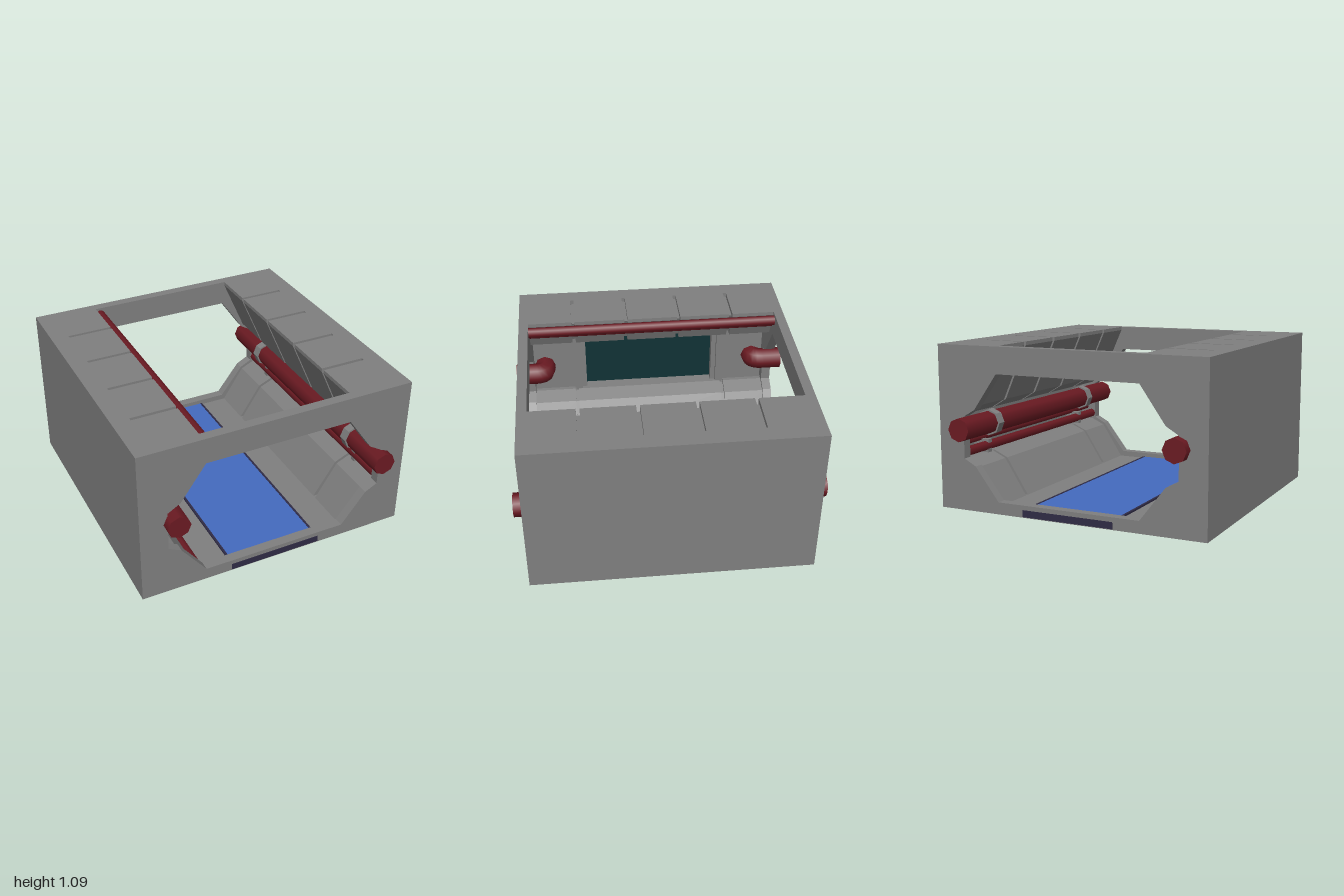
import * as THREE from 'three';

const material = (color, flatShading = true) => new THREE.MeshStandardMaterial({ color, flatShading });

export function createModel() {
  const model = new THREE.Group();
  const grey = material(0x7f7f7f);
  const red = material(0x6a1a22, false);
  const blue = material(0x446abf);
  const navy = material(0x2f2b45);
  const teal = material(0x103235);

  const add = (name, geometry, mat = grey) => {
    const mesh = new THREE.Mesh(geometry, mat);
    mesh.name = name;
    model.add(mesh);
    return mesh;
  };

  // Box given by its limits on each axis
  const box = (name, x0, x1, y0, y1, z0, z1, mat) => {
    const mesh = add(name, new THREE.BoxGeometry(Math.abs(x1 - x0), y1 - y0, z1 - z0), mat);
    mesh.position.set((x0 + x1) / 2, (y0 + y1) / 2, (z0 + z1) / 2);
  };

  // Cross-section on one side (side = 1 or -1), extruded from z0 to z1
  const prism = (name, points, side, z0, z1) => {
    const shape = new THREE.Shape(points.map(([x, y]) => new THREE.Vector2(x * side, y)));
    const geometry = new THREE.ExtrudeGeometry(shape, { depth: z1 - z0, bevelEnabled: false });
    add(name, geometry.translate(0, 0, z0));
  };

  // Straight pipe along z
  const pipe = (name, x, y, r, z0, z1, mat = red) => {
    const mesh = add(name, new THREE.CylinderGeometry(r, r, z1 - z0, 8), mat);
    mesh.rotation.x = Math.PI / 2;
    mesh.position.set(x, y, (z0 + z1) / 2);
  };

  const W = 0.94, H = 1.085, IN = 0.875;

  // End frames with the angular doorway
  const half = [[0.5, 0.08], [0.67, 0.3], [0.755, 0.345], [0.755, 0.62], [0.67, 0.67], [0.5, 0.91]];
  const doorway = [...half, ...half.map(([x, y]) => [-x, y]).reverse()];
  const frame = new THREE.Shape([[-W, 0], [W, 0], [W, H], [-W, H]].map((p) => new THREE.Vector2(...p)));
  frame.holes.push(new THREE.Path(doorway.map((p) => new THREE.Vector2(...p))));
  for (const [name, z] of [['frontFrame', IN], ['backFrame', -W]]) {
    const geometry = new THREE.ExtrudeGeometry(frame, { depth: W - IN, bevelEnabled: false });
    add(name, geometry.translate(0, 0, z));
  }

  // Floor with the coloured walkway and its dark rails and ends
  box('floor', -W, W, 0, 0.04, -IN, IN);
  box('walkway', -0.305, 0.305, 0.03, 0.05, -IN, IN, blue);
  for (const s of [-1, 1]) {
    box('walkwayRail', s * 0.305, s * 0.32, 0.03, 0.052, -IN, IN, navy);
    box('walkwayEnd', -0.32, 0.32, 0.004, 0.05, s * 0.91 - 0.0305, s * 0.91 + 0.0305, navy);
  }

  // Panels between stops along z, with a recessed strip filling each joint
  const bays = (name, panel, strip, side, joints) => {
    const stops = [-IN, ...joints, IN];
    for (let i = 0; i <= joints.length; i++) {
      const z0 = stops[i] + (i > 0 ? 0.012 : 0);
      const z1 = stops[i + 1] - (i < joints.length ? 0.012 : 0);
      prism(name, panel, side, z0, z1);
    }
    for (const z of joints) prism(name + 'Joint', strip, side, z - 0.012, z + 0.012);
  };

  // Side walls; the right ceiling panels stop higher to clear the window
  const ceilingTop = [[0.515, 1.06], [0.515, H], [0.88, H]];
  const stripTop = [[0.545, 1.055], [0.82, 1.055], [0.82, H], [0.88, H]];
  const lower = [[0.52, 0.04], [0.88, 0.04], [0.88, 0.33], [0.78, 0.33], [0.68, 0.285]];
  const lowerStrip = [[0.55, 0.04], [0.88, 0.04], [0.88, 0.31], [0.785, 0.31], [0.695, 0.27]];
  const upperLeft = [...ceilingTop, [0.88, 0.63], [0.78, 0.63], [0.68, 0.69]];
  const upperRight = [...ceilingTop, [0.88, 0.86], [0.605, 0.86]];
  const upperStripLeft = [...stripTop, [0.88, 0.72], [0.695, 0.72]];
  const upperStripRight = [...stripTop, [0.88, 0.88], [0.625, 0.88]];
  const joints = [-0.565, -0.19, 0.185, 0.56];
  bays('upperPanel', upperLeft, upperStripLeft, 1, joints);
  bays('upperPanel', upperRight, upperStripRight, -1, joints);
  for (const side of [-1, 1]) {
    box('outerWall', side * 0.88, side * W, 0, H, -IN, IN);
    bays('lowerPanel', lower, lowerStrip, side, [-0.565, 0.56]);
  }

  // Right wall: dark window between two columns
  box('window', -0.88, -0.87, 0.32, 0.87, -0.48, 0.48, teal);
  for (const s of [-1, 1]) {
    box('column', -0.88, -0.81, 0.32, 0.87, s * 0.675 - 0.195, s * 0.675 + 0.195);
    box('columnRib', -0.88, -0.785, 0.32, 0.87, s * 0.54 - 0.025, s * 0.54 + 0.025);
  }

  // Right side: tight pipe elbows that turn into the columns
  for (const [name, x, s] of [['frontElbow', -0.705, 1], ['backElbow', -0.75, -1]]) {
    const z = s * 0.79;
    const a = new THREE.Vector3(x, 0.54, s);
    const b = new THREE.Vector3(x, 0.54, s * 0.86);
    const c = new THREE.Vector3(x - 0.06, 0.54, z);
    const path = new THREE.CurvePath();
    path.add(new THREE.LineCurve3(a, b));
    path.add(new THREE.QuadraticBezierCurve3(b, new THREE.Vector3(x, 0.54, z), c));
    path.add(new THREE.LineCurve3(c, new THREE.Vector3(-0.86, 0.54, z)));
    add(name, new THREE.TubeGeometry(path, 16, 0.078, 8), red);
    pipe(name + 'Cap', x, 0.54, 0.078, s * 0.98 - 0.02, s * 0.98 + 0.02);
  }

  // Right side: thin pipes along the ceiling and floor edges
  pipe('ceilingPipe', -0.485, 1.035, 0.035, -IN, IN);
  pipe('ceilingPipeSmall', -0.55, 0.975, 0.025, -IN, IN);
  pipe('floorPipe', -0.55, 0.085, 0.035, -IN, IN);

  // Left side: main pipe with clamps, and thin pipes below it
  pipe('mainPipe', 0.755, 0.54, 0.078, -1, 1);
  pipe('thinPipe', 0.79, 0.375, 0.033, -IN, IN);
  pipe('thinPipe', 0.84, 0.43, 0.025, -IN, IN);
  for (const z of [-0.63, 0.63]) {
    pipe('clamp', 0.755, 0.54, 0.09, z - 0.03, z + 0.03, grey);
    box('clampArm', 0.8, 0.88, 0.5, 0.58, z - 0.025, z + 0.025);
    box('thinPipeBracket', 0.765, 0.88, 0.33, 0.42, z - 0.02, z + 0.02);
  }

  return model;
}
